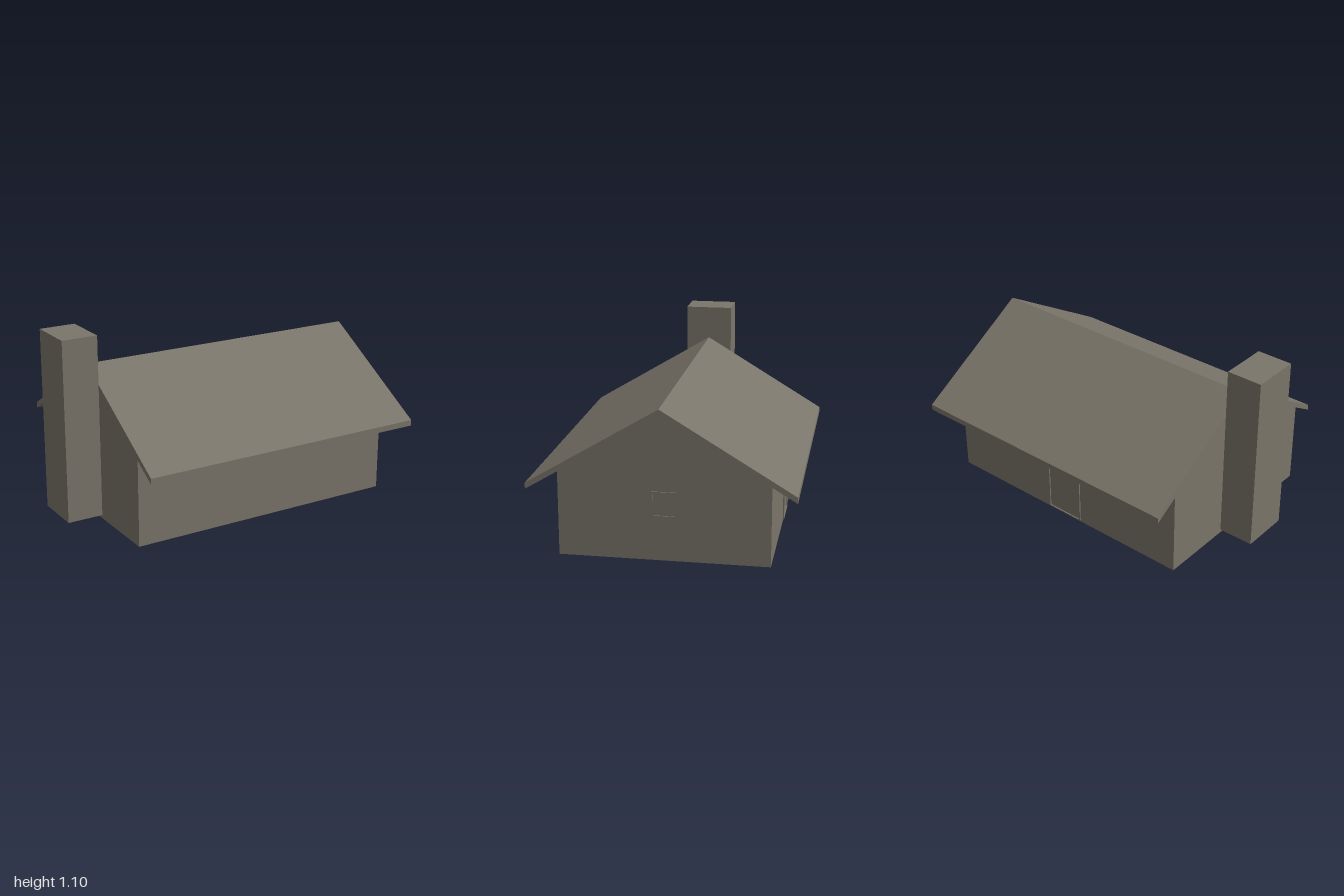
import * as THREE from 'three';

const stone = new THREE.MeshStandardMaterial({ color: 0x7a756a });
stone.name = 'weathered stone';

function add(parent, name, geometry) {
  const mesh = new THREE.Mesh(geometry, stone);
  mesh.name = name;
  parent.add(mesh);
  return mesh;
}

// Extrudes a z/y outline along x, from x0 to x1
function alongX(points, x0, x1) {
  const shape = new THREE.Shape(points.map(([z, y]) => new THREE.Vector2(-z, y)));
  const geometry = new THREE.ExtrudeGeometry(shape, { depth: x1 - x0, bevelEnabled: false });
  return geometry.rotateY(Math.PI / 2).translate(x0, 0, 0);
}

// Thin rectangular surround standing on its bottom centre, facing +z
function surround(w, h, bar, sill, depth) {
  const shape = new THREE.Shape([
    new THREE.Vector2(-w / 2, 0), new THREE.Vector2(w / 2, 0),
    new THREE.Vector2(w / 2, h), new THREE.Vector2(-w / 2, h),
  ]);
  const x = w / 2 - bar;
  shape.holes.push(new THREE.Path([
    new THREE.Vector2(-x, sill), new THREE.Vector2(-x, h - bar),
    new THREE.Vector2(x, h - bar), new THREE.Vector2(x, sill),
  ]));
  return new THREE.ExtrudeGeometry(shape, { depth, bevelEnabled: false });
}

export function createModel() {
  const house = new THREE.Group();
  house.name = 'house';
  const left = -0.785, right = 0.875, half = 0.593;
  const ridge = 0.9, eaveZ = 0.74, eaveY = 0.455, thick = 0.035;
  const slope = (ridge - eaveY) / eaveZ;
  const wallTop = ridge - thick - slope * half;

  // Gabled body
  add(house, 'walls', alongX([
    [half, 0], [-half, 0], [-half, wallTop], [0, ridge - thick], [half, wallTop],
  ], left, right));

  // Roof slabs with plumb-cut eaves, overhanging the right gable
  add(house, 'roof', alongX([
    [eaveZ, eaveY - thick], [0, ridge - thick], [-eaveZ, eaveY - thick],
    [-eaveZ, eaveY], [0, ridge], [eaveZ, eaveY],
  ], left, 1));

  // Chimney outside the left gable
  add(house, 'chimney', new THREE.BoxGeometry(0.215, 1.08, 0.29)).position.set(-0.8925, 0.56, 0);

  // Gable window
  const window = add(house, 'windowFrame', surround(0.145, 0.15, 0.012, 0.012, 0.006));
  window.position.set(right, 0.25, 0);
  window.rotation.y = Math.PI / 2;

  // Back door
  const door = add(house, 'doorFrame', surround(0.25, 0.4, 0.012, 0.004, 0.007));
  door.position.set(0.04, 0.01, -half);
  door.rotation.y = Math.PI;

  return house;
}
